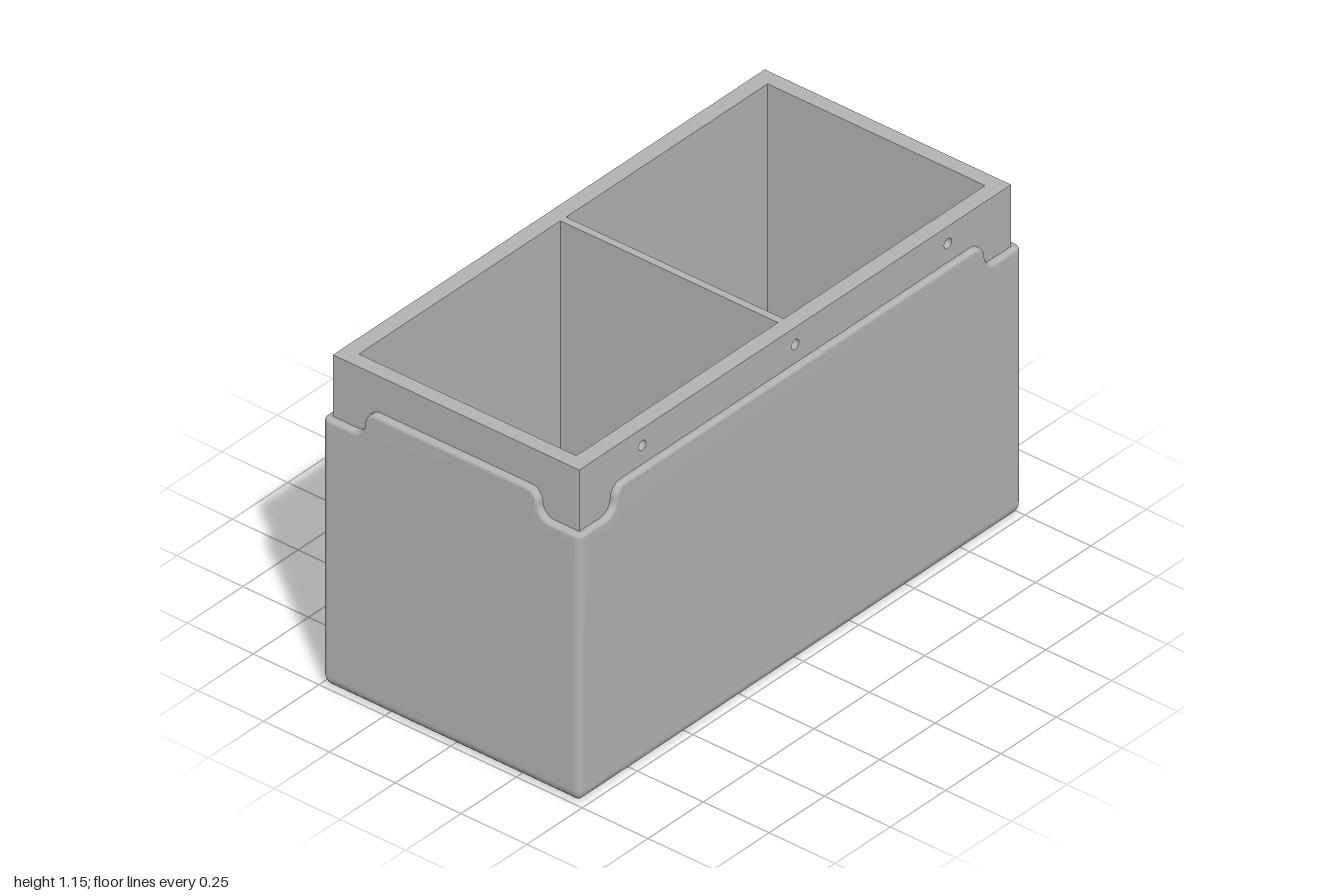
import * as THREE from 'three';

const HX = 1, HZ = 0.49;            // half size of the outer shell
const CX = 0.975, CZ = 0.468;       // half size of the inner box
const TOP = 1.155, FLOOR = 0.06;
const LOW = 0.94, HIGH = 1.03;      // rim height at the corners and along the sides
const R = 0.025, FILLET = 0.045, LIP = 0.012;

// Rim curve of one side: points (s, h) with the normal (ns, nh) pointing out of the panel
function rimCurve(q) {
  const r = (HIGH - LOW) / 2, mid = LOW + r, n = 8, left = [];
  for (let i = 0; i <= n; i++) {
    const a = -Math.PI / 2 * (1 - i / n), c = Math.cos(a), s = Math.sin(a);
    left.push({ s: -q - r + r * c, h: mid + r * s, ns: -c, nh: -s });
  }
  for (let i = 1; i <= n; i++) {
    const a = Math.PI * (1 - i / n / 2), c = Math.cos(a), s = Math.sin(a);
    left.push({ s: -q + r + r * c, h: mid + r * s, ns: c, nh: s });
  }
  const right = left.map(p => ({ s: -p.s, h: p.h, ns: -p.ns, nh: p.nh })).reverse();
  return [...left, ...right];
}

// Outer shell: rounded bottom, rounded upright edges and a stepped, rounded rim
function shellGeometry() {
  // Each column gives a point for an inset d, a rim offset and an optional fixed height
  const columns = [];
  for (let k = 0; k < 4; k++) {
    const ang = k * Math.PI / 2;
    const N = [Math.round(Math.sin(ang)), Math.round(Math.cos(ang))];
    const T = [N[1], -N[0]];
    const along = k % 2 ? HZ : HX, out = k % 2 ? HX : HZ;
    for (const p of rimCurve(k % 2 ? 0.33 : 0.835)) {
      columns.push((d, off, y) => {
        const s = p.s - off * p.ns;
        return [T[0] * s + N[0] * (out - d), y ?? p.h - off * p.nh, T[1] * s + N[1] * (out - d)];
      });
    }
    for (let i = 0; i <= 6; i++) {
      const a = i / 6 * Math.PI / 2;
      columns.push((d, off, y) => {
        const inset = R + Math.max(0, d - R), rad = Math.max(0, R - d);
        const s = along - inset + rad * Math.sin(a), o = out - inset + rad * Math.cos(a);
        return [T[0] * s + N[0] * o, y ?? LOW - off, T[1] * s + N[1] * o];
      });
    }
  }
  // Rows from the bottom up: [inset, rim offset, fixed height]
  const rows = [[FILLET + 0.005, 0, 0]];
  for (let i = 0; i <= 7; i++) {
    const a = i / 7 * Math.PI / 2;
    rows.push([FILLET * (1 - Math.sin(a)), 0, FILLET * (1 - Math.cos(a))]);
  }
  rows.push([0, LIP, 0.9]);
  for (let i = 0; i <= 4; i++) {
    const a = i / 4 * Math.PI / 2;
    rows.push([LIP * (1 - Math.cos(a)), LIP * (1 - Math.sin(a))]);
  }
  rows.push([0.03, 0]);

  const n = columns.length, pos = [], idx = [];
  for (const [d, off, y] of rows) for (const col of columns) pos.push(...col(d, off, y));
  for (let j = 0; j < rows.length - 1; j++) {
    for (let i = 0; i < n; i++) {
      const a = j * n + i, b = j * n + (i + 1) % n;
      idx.push(a, b, b + n, a, b + n, a + n);
    }
  }
  const centre = pos.length / 3;
  pos.push(0, 0, 0);
  for (let i = 0; i < n; i++) idx.push(centre, (i + 1) % n, i);
  const g = new THREE.BufferGeometry();
  g.setAttribute('position', new THREE.Float32BufferAttribute(pos, 3));
  g.setIndex(idx);
  g.computeVertexNormals();
  return g;
}

export function createModel() {
  const group = new THREE.Group();
  const grey = new THREE.MeshStandardMaterial({ color: 0xb2b2b2 });
  grey.name = 'light grey';

  const add = (name, geometry) => {
    const mesh = new THREE.Mesh(geometry, grey);
    mesh.name = name;
    group.add(mesh);
    return mesh;
  };
  const addBox = (name, x0, x1, y0, y1, z0, z1) => {
    const mesh = add(name, new THREE.BoxGeometry(x1 - x0, y1 - y0, z1 - z0));
    mesh.position.set((x0 + x1) / 2, (y0 + y1) / 2, (z0 + z1) / 2);
  };

  add('outerShell', shellGeometry()).material.side = THREE.FrontSide;

  // Inner box with two compartments
  const skin = 0.03, inX = 0.923, inZ = 0.413;
  addBox('floor', -CX, CX, 0.03, FLOOR, -CZ, CZ);
  addBox('divider', -0.013, 0.013, FLOOR, TOP, -inZ, inZ);
  addBox('leftWall', inX, CX, FLOOR, TOP, -inZ, inZ);
  addBox('rightWall', -CX, -inX, FLOOR, TOP, -inZ, inZ);
  addBox('frontWall', -CX, CX, FLOOR, TOP, inZ, CZ - skin);
  addBox('backWall', -CX, CX, FLOOR, TOP, -CZ + skin, -inZ);

  // Front and back skins with three blind screw holes each
  const plate = new THREE.Shape([[-CX, FLOOR], [CX, FLOOR], [CX, TOP], [-CX, TOP]]
    .map(([x, y]) => new THREE.Vector2(x, y)));
  for (const x of [-0.69, 0, 0.69]) {
    plate.holes.push(new THREE.Path().absarc(x, 1.095, 0.017, 0, Math.PI * 2, true));
  }
  const skinGeometry = new THREE.ExtrudeGeometry(plate, { depth: skin, bevelEnabled: false, curveSegments: 24 });
  add('frontSkin', skinGeometry).position.z = CZ - skin;
  const back = add('backSkin', skinGeometry);
  back.rotation.y = Math.PI;
  back.position.z = -CZ + skin;

  return group;
}
